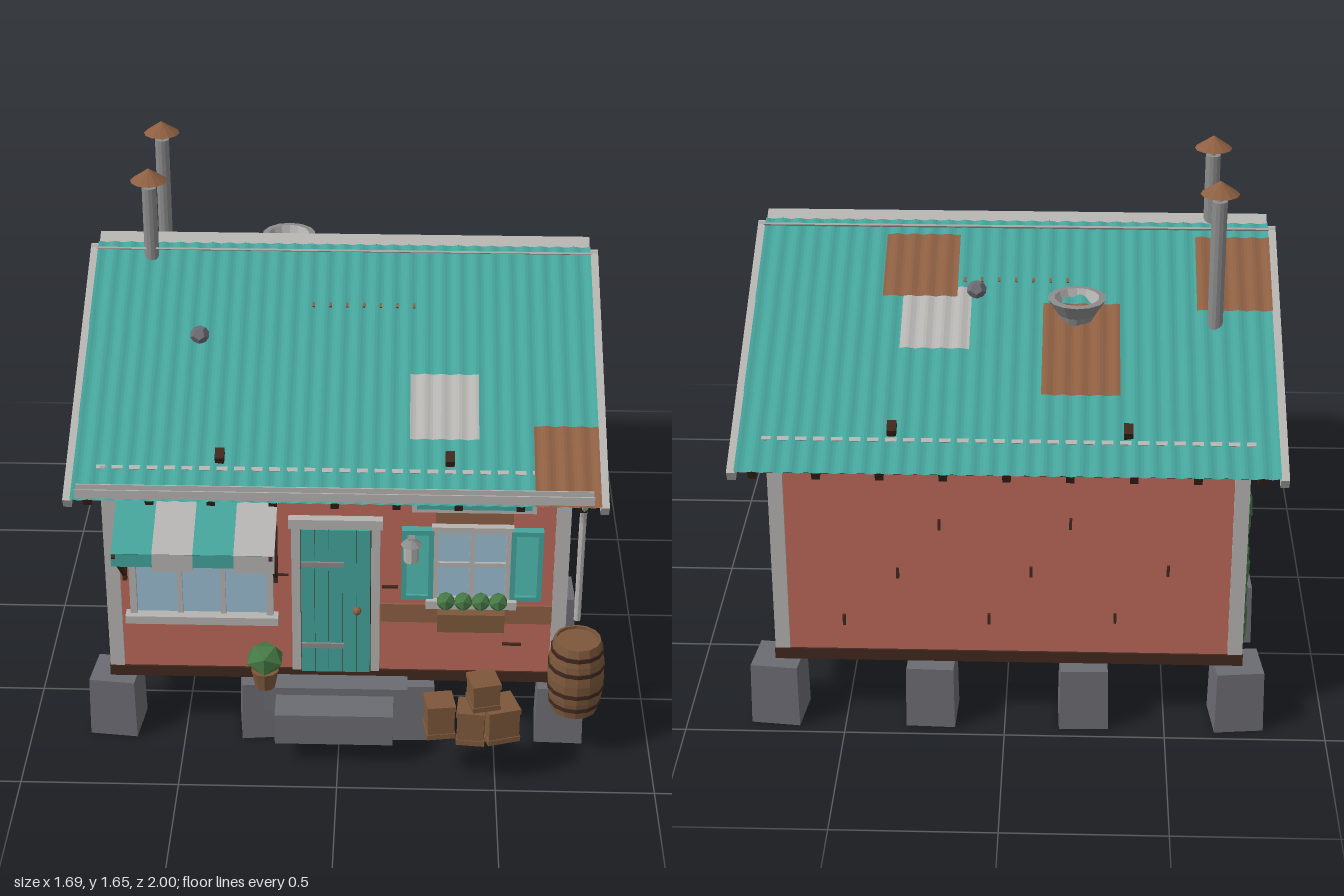
import * as THREE from 'three';

const mat = (name, color, side = THREE.FrontSide) =>
  new THREE.MeshStandardMaterial({ name, color, side, flatShading: true });
const M = {
  red: mat('red siding', 0xb06252),
  teal: mat('teal paint', 0x45a49b, THREE.DoubleSide),
  trim: mat('pale grey trim', 0xb5b4b1, THREE.DoubleSide),
  metal: mat('grey metal', 0x8c8c8c, THREE.DoubleSide),
  stone: mat('grey stone', 0x6b6b72),
  wood: mat('brown wood', 0x7d583b),
  rust: mat('rust', 0x8e5f42, THREE.DoubleSide),
  dark: mat('dark timber', 0x40281e),
  glass: mat('blue glass', 0x9abdd1),
  green: mat('leaf green', 0x467945),
};

function add(parent, name, geo, material, x = 0, y = 0, z = 0) {
  const m = new THREE.Mesh(geo, material);
  m.name = name;
  m.position.set(x, y, z);
  parent.add(m);
  return m;
}
// Box given by its limits on each axis
const slab = (p, name, m, x0, x1, y0, y1, z0, z1) => add(p, name,
  new THREE.BoxGeometry(x1 - x0, y1 - y0, z1 - z0), m, (x0 + x1) / 2, (y0 + y1) / 2, (z0 + z1) / 2);

function group(parent, name, x = 0, y = 0, z = 0, ry = 0) {
  const g = new THREE.Group();
  g.name = name;
  g.position.set(x, y, z);
  g.rotation.y = ry;
  parent.add(g);
  return g;
}

const CX = -0.01, RIDGE_Z = -0.107, RIDGE_Y = 1.375, TAN = 0.515;
const ANGLE = Math.atan(TAN), COS = Math.cos(ANGLE), LEN = 0.897 / COS;

// Lap board: lower edge stands proud of the wall
function board(p, a, b, at, bt, y0, y1) {
  const s = new THREE.Shape([[a, y0], [b, y0], [bt, y1], [at, y1]].map(q => new THREE.Vector2(...q)));
  const g = new THREE.ExtrudeGeometry(s, { depth: 0.014, bevelEnabled: false });
  const v = g.attributes.position;
  for (let i = 0; i < v.count; i++) if (v.getZ(i) > 0.01 && v.getY(i) > y1 - 0.001) v.setZ(i, 0.005);
  g.computeVertexNormals();
  add(p, 'sidingBoard', g, M.red);
}
function siding(p, x0, x1, gableMid) {
  const h = 0.0685;
  for (let i = 0; i < 10; i++) board(p, x0, x1, x0, x1, 0.245 + i * h, 0.245 + (i + 1) * h);
  if (gableMid === undefined) return;
  const half = y => Math.max(0.005, (1.325 - y) / TAN);
  for (let y = 0.97; y < 1.31; y += h) {
    const t = Math.min(y + h, 1.322);
    board(p, gableMid - half(y), gableMid + half(y), gableMid - half(t), gableMid + half(t), y, t);
  }
  slab(p, 'gableBand', M.trim, x0, x1, 0.93, 0.975, 0, 0.022);
  // Louvred gable vent
  const vent = group(p, 'gableVent', gableMid, 1.143, 0);
  slab(vent, 'ventFrame', M.trim, -0.063, 0.063, -0.05, 0.05, 0, 0.02);
  for (let i = 0; i < 5; i++) slab(vent, 'ventSlat', M.teal, -0.053, 0.053, -0.041 + i * 0.017, -0.028 + i * 0.017, 0.015, 0.026);
}

function windowUnit(p, x0, x1, y0, y1, cols, rows) {
  const g = group(p, 'window'), f = 0.022;
  slab(g, 'glass', M.glass, x0, x1, y0, y1, 0.012, 0.02);
  for (const x of [x0 - f, x1]) slab(g, 'frameSide', M.trim, x, x + f, y0, y1, 0, 0.036);
  slab(g, 'frameTop', M.trim, x0 - f, x1 + f, y1, y1 + f, 0, 0.038);
  slab(g, 'sill', M.trim, x0 - f - 0.015, x1 + f + 0.015, y0 - 0.028, y0, 0, 0.055);
  for (let i = 1; i < cols; i++) {
    const x = x0 + (x1 - x0) * i / cols;
    slab(g, 'muntin', M.trim, x - 0.008, x + 0.008, y0, y1, 0.012, 0.03);
  }
  for (let i = 1; i < rows; i++) {
    const y = y0 + (y1 - y0) * i / rows;
    slab(g, 'muntin', M.trim, x0, x1, y - 0.008, y + 0.008, 0.012, 0.029);
  }
}
function shutter(p, x0, x1, louvred = true) {
  const g = group(p, 'shutter'), y0 = 0.53, y1 = 0.785, n = 8;
  if (!louvred) { slab(g, 'shutterPanel', M.teal, x0, x1, y0, y1, 0.015, 0.04); return; }
  slab(g, 'shutterBack', M.dark, x0 + 0.01, x1 - 0.01, y0 + 0.01, y1 - 0.01, 0.012, 0.018);
  for (const x of [x0, x1 - 0.016]) slab(g, 'stile', M.teal, x, x + 0.016, y0, y1, 0.012, 0.04);
  for (const y of [y0, y1 - 0.016]) slab(g, 'rail', M.teal, x0, x1, y, y + 0.016, 0.012, 0.04);
  for (let i = 0; i < n; i++) {
    const y = y0 + 0.03 + i * (y1 - y0 - 0.06) / (n - 1);
    slab(g, 'slat', M.teal, x0 + 0.01, x1 - 0.01, y - 0.012, y + 0.012, 0.026, 0.031).rotation.x = -0.35;
  }
}
const cracks = (p, list) => list.forEach(([x, y, w, h = 0.007]) =>
  slab(p, 'crack', M.dark, x - w / 2, x + w / 2, y - h / 2, y + h / 2, 0.008, 0.018));

// Corrugated sheet in slope space: x across, z down the slope
function sheet(p, name, m, x0, x1, v0, v1, lift0, lift1) {
  const g = new THREE.PlaneGeometry(x1 - x0, v1 - v0, Math.round((x1 - x0) / 0.009), 1);
  g.rotateX(-Math.PI / 2).translate((x0 + x1) / 2, 0, (v0 + v1) / 2);
  const a = g.attributes.position;
  for (let i = 0; i < a.count; i++) {
    const t = (a.getZ(i) - v0) / (v1 - v0);
    a.setY(i, lift0 + (lift1 - lift0) * t + 0.0028 * Math.cos(a.getX(i) * Math.PI * 2 / 0.054));
  }
  g.computeVertexNormals();
  add(p, name, g, m);
}

function roofSlope(root, front) {
  const outer = group(root, front ? 'frontRoof' : 'backRoof', CX, RIDGE_Y, RIDGE_Z, front ? 0 : Math.PI);
  const s = group(outer, 'slope'), k = front ? 1 : -1;
  s.rotation.x = ANGLE;
  const lx = x => k * (x - CX), lv = z => Math.abs(z - RIDGE_Z) / COS;
  const patch = (m, x0, x1, z0, z1) => {
    const xs = [lx(x0), lx(x1)].sort((a, b) => a - b), vs = [lv(z0), lv(z1)].sort((a, b) => a - b);
    sheet(s, 'roofPatch', m, ...xs, ...vs, 0.01, 0.013);
  };
  [[0, 0.35], [0.33, 0.71], [0.69, LEN]].forEach(([a, b]) => sheet(s, 'roofSheet', M.teal, -0.81, 0.81, a, b, -0.002, 0.007));
  slab(s, 'roofDeck', M.dark, -0.805, 0.805, -0.022, -0.011, 0.01, LEN - 0.02);
  for (let i = 0; i < 9; i++) slab(s, 'rafter', M.dark, -0.775 + i * 0.19, -0.75 + i * 0.19, -0.055, -0.02, 0.03, LEN - 0.02);
  for (const x of [-0.823, 0.823]) slab(s, 'bargeboard', M.trim, x - 0.013, x + 0.013, -0.05, -0.012, 0, LEN - 0.01);
  // Snow rail half sunk in the corrugations, with its hooks
  const rail = lv(front ? 0.68 : -0.89), hook = lv(front ? 0.645 : -0.86);
  slab(s, 'snowRail', M.trim, -0.74, 0.74, -0.003, 0.0045, rail - 0.007, rail + 0.007);
  for (const x of [-0.37, 0.34]) slab(s, 'railHook', M.dark, lx(x) - 0.014, lx(x) + 0.014, 0, 0.03, hook - 0.02, hook + 0.02);
  for (let i = 0; i < 7; i++) {
    const x = lx((front ? -0.1 : -0.18) + i * 0.054), v = lv(front ? 0.12 : -0.335);
    slab(s, 'roofNail', M.rust, x - 0.004, x + 0.004, 0, 0.01, v - 0.008, v + 0.008);
  }
  if (front) {
    patch(M.trim, 0.215, 0.43, 0.36, 0.58);
    patch(M.rust, 0.6, 0.8, 0.53, 0.793);
  } else {
    patch(M.trim, 0.12, 0.335, -0.585, -0.365);
    patch(M.rust, -0.345, -0.105, -0.74, -0.42);
    patch(M.rust, -0.82, -0.585, -0.44, -0.17);
    patch(M.rust, 0.165, 0.4, -0.4, -0.17);
  }
  const rx = front ? -0.46 : 0.105, rz = front ? 0.24 : -0.38;
  add(s, 'roofRock', new THREE.DodecahedronGeometry(0.032, 0), M.stone, lx(rx), 0.02, lv(rz)).scale.y = 0.8;
  // Upturned ridge flashing
  const cap = slab(outer, 'ridgeFlashing', M.trim, -0.81, 0.81, -0.014, -0.008, -0.005, 0.068);
  cap.rotation.x = -0.48;
}

function frontWall(root) {
  const f = group(root, 'frontWall', 0, 0, 0.685);
  siding(f, -0.715, 0.695);
  windowUnit(f, -0.64, -0.23, 0.46, 0.83, 3, 2);
  windowUnit(f, 0.31, 0.52, 0.535, 0.775, 2, 2);
  shutter(f, 0.195, 0.295);
  shutter(f, 0.535, 0.635);
  slab(f, 'boardPatch', M.rust, 0.13, 0.68, 0.43, 0.497, 0.01, 0.017);
  slab(f, 'boardPatch', M.rust, 0.3, 0.54, 0.8, 0.84, 0.01, 0.019);
  slab(f, 'upperPanelFrame', M.trim, 0.225, 0.61, 0.843, 0.93, 0, 0.025);
  slab(f, 'upperPanel', M.teal, 0.24, 0.595, 0.857, 0.92, 0.02, 0.03);
  // Door
  slab(f, 'doorFrame', M.trim, -0.15, 0.128, 0.245, 0.79, 0, 0.026);
  slab(f, 'doorHead', M.trim, -0.158, 0.136, 0.785, 0.818, 0, 0.04);
  slab(f, 'doorGap', M.dark, -0.122, 0.1, 0.245, 0.782, 0.02, 0.029);
  for (let i = 0; i < 5; i++) slab(f, 'doorPlank', M.teal, -0.12 + i * 0.0438, -0.0775 + i * 0.0438, 0.247, 0.78, 0.02, 0.036);
  for (const y of [0.35, 0.655]) slab(f, 'hinge', M.metal, -0.12, 0.015, y - 0.009, y + 0.009, 0.03, 0.042);
  add(f, 'doorKnob', new THREE.SphereGeometry(0.014, 8, 6), M.rust, 0.057, 0.49, 0.048);
  // Striped awning with a hanging valance
  const w = 0.124;
  for (let i = 0; i < 4; i++) {
    const m = i % 2 ? M.trim : M.teal, x = -0.685 + i * w, low = i % 2 ? 0.745 : 0.762;
    const a = slab(f, 'awningStripe', m, x, x + w, -0.003, 0.003, -0.122, 0.122);
    a.position.set(x + w / 2, 0.853, 0.122);
    a.rotation.x = 0.4;
    slab(f, 'awningValance', m, x, x + w, low, 0.808, 0.229, 0.235);
  }
  for (const x of [-0.677, -0.2]) {
    const arm = slab(f, 'awningArm', M.dark, x - 0.006, x + 0.006, -0.15, 0.15, -0.006, 0.006);
    arm.position.set(x, 0.7, 0.13);
    arm.rotation.x = 0.82;
    slab(f, 'awningBracket', M.dark, x - 0.007, x + 0.007, 0.575, 0.78, 0.012, 0.024);
  }
  // Flower box
  slab(f, 'flowerBox', M.wood, 0.31, 0.52, 0.44, 0.505, 0.02, 0.085);
  for (let i = 0; i < 4; i++) add(f, 'flowerPlant', new THREE.IcosahedronGeometry(0.032, 0), M.green, 0.335 + i * 0.055, 0.535, 0.052);
  // Wall lamp
  slab(f, 'lampBracket', M.metal, 0.215, 0.235, 0.755, 0.77, 0, 0.065);
  add(f, 'lampGlass', new THREE.CylinderGeometry(0.024, 0.024, 0.06, 8), M.trim, 0.225, 0.718, 0.058);
  add(f, 'lampHood', new THREE.ConeGeometry(0.034, 0.025, 8), M.metal, 0.225, 0.76, 0.058);
  cracks(f, [[-0.18, 0.6, 0.04], [0.16, 0.56, 0.05], [-0.6, 0.44, 0.1], [0.55, 0.35, 0.06]]);
}

function props(root) {
  // Steps
  slab(root, 'upperStep', M.stone, -0.24, 0.22, 0.13, 0.222, 0.69, 0.78);
  slab(root, 'lowerStep', M.stone, -0.2, 0.175, 0.085, 0.195, 0.74, 0.89);
  // Crates: x, y, z, width, height, turn
  [[0.32, 0.225, 0.915, 0.09, 0.12, 0.15], [0.42, 0.225, 0.945, 0.09, 0.12, -0.1],
    [0.508, 0.225, 0.925, 0.105, 0.12, 0.3], [0.455, 0.332, 0.93, 0.09, 0.095, 0.25]].forEach(([x, y, z, w, h, r]) => {
    const g = group(root, 'crate', x, y, z, r);
    add(g, 'crateBody', new THREE.BoxGeometry(w - 0.006, h - 0.004, w - 0.006), M.wood);
    for (const a of [-1, 1]) add(g, 'crateBatten', new THREE.BoxGeometry(w, 0.018, w), M.wood, 0, a * (h / 2 - 0.009), 0);
  });
  // Barrel
  const b = group(root, 'barrel', 0.752, 0.17, 0.775);
  const prof = [[0, 0], [0.074, 0], [0.086, 0.06], [0.091, 0.13], [0.086, 0.2], [0.074, 0.26], [0.067, 0.26], [0.067, 0.25], [0, 0.25]];
  add(b, 'barrelBody', new THREE.LatheGeometry(prof.map(q => new THREE.Vector2(...q)), 14), M.wood);
  for (const [y, r] of [[0.035, 0.084], [0.09, 0.091], [0.17, 0.091], [0.225, 0.084]])
    add(b, 'barrelHoop', new THREE.CylinderGeometry(r, r, 0.014, 14), M.dark, 0, y, 0);
  // Potted shrub
  add(root, 'plantPot', new THREE.CylinderGeometry(0.045, 0.032, 0.065, 10), M.wood, -0.235, 0.253, 0.765);
  add(root, 'shrub', new THREE.IcosahedronGeometry(0.064, 0), M.green, -0.235, 0.325, 0.765).scale.y = 0.85;
  // Climbing vine
  let seed = 7;
  const rnd = () => (seed = (seed * 16807) % 2147483647) / 2147483647;
  for (let i = 0; i < 30; i++) {
    const leaf = add(root, 'vineLeaf', new THREE.IcosahedronGeometry(0.045 + rnd() * 0.015, 0), M.green,
      -0.735, 0.2 + i * 0.0195, -0.765 + (rnd() - 0.5) * 0.12);
    leaf.scale.x = 0.4;
    leaf.rotation.x = rnd() * 3;
  }
  // Stove pipes
  for (const [z, y0] of [[-0.06, 1.34], [-0.475, 1.16]]) {
    const g = group(root, 'chimney', -0.64, 0, z);
    add(g, 'pipe', new THREE.CylinderGeometry(0.024, 0.024, 1.59 - y0, 12), M.metal, 0, (1.59 + y0) / 2, 0);
    add(g, 'capStem', new THREE.CylinderGeometry(0.008, 0.008, 0.04, 6), M.metal, 0, 1.6, 0);
    add(g, 'pipeCap', new THREE.ConeGeometry(0.06, 0.042, 12), M.rust, 0, 1.634, 0);
  }
  // Flared roof vent ring
  const ring = [[0.05, 0], [0.06, 0.04], [0.092, 0.09], [0.07, 0.092], [0.05, 0.04]];
  const pts = ring.map(q => new THREE.Vector2(...q));
  add(root, 'roofVentRing', new THREE.LatheGeometry(pts.slice(0, 4), 14), M.metal, -0.21, 1.165, -0.45);
  add(root, 'roofVentLining', new THREE.LatheGeometry(pts.slice(3), 14), M.trim, -0.21, 1.165, -0.45);
  // Gutter and downspout
  slab(root, 'gutterTrough', M.trim, -0.8, 0.775, 0.943, 0.95, 0.785, 0.822);
  for (const z of [0.785, 0.818]) slab(root, 'gutterSide', M.trim, -0.8, 0.775, 0.943, 0.972, z, z + 0.004);
  const path = [[0.80, 0.95], [0.78, 0.92], [0.735, 0.88], [0.715, 0.82], [0.715, 0.46]].map(([z, y]) => new THREE.Vector3(0.752, y, z));
  add(root, 'downspout', new THREE.TubeGeometry(new THREE.CatmullRomCurve3(path, false, 'catmullrom', 0.2), 20, 0.011, 8), M.trim);
}

export function createModel() {
  const root = new THREE.Group();
  root.name = 'cabin';
  // Stone piers around the edge, each a little askew
  const px = [-0.725, -0.245, 0.23, 0.712], pz = [0.67, 0.153, -0.36, -0.882];
  px.forEach((x, i) => pz.forEach((z, j) => {
    if (i % 3 && j % 3) return;
    const g = new THREE.CylinderGeometry(0.104, 0.109, 0.208, 4).rotateY(Math.PI / 4);
    add(root, 'pier', g, M.stone, x, 0.104, z).rotation.y = ((i * 3 + j * 5) % 4 - 1.5) * 0.07;
  }));
  // Floor and its underside planks
  slab(root, 'floor', M.dark, -0.74, 0.72, 0.208, 0.246, -0.905, 0.705);
  for (let i = 0; i < 20; i++) slab(root, 'floorPlank', M.wood, -0.72, 0.7, 0.203, 0.21, -0.88 + i * 0.078, -0.806 + i * 0.078);
  // Solid house core with gables
  const core = new THREE.Shape([[0.885, 0.24], [-0.685, 0.24], [-0.685, 0.915], [0.107, 1.325], [0.885, 0.92]].map(q => new THREE.Vector2(...q)));
  const cg = new THREE.ExtrudeGeometry(core, { depth: 1.41, bevelEnabled: false }).rotateY(Math.PI / 2);
  add(root, 'houseCore', cg, M.red, -0.715, 0, 0);
  frontWall(root);

  const right = group(root, 'rightWall', 0.695, 0, 0, Math.PI / 2);
  siding(right, -0.685, 0.885, 0.107);
  windowUnit(right, -0.265, -0.055, 0.548, 0.775, 2, 2);
  windowUnit(right, 0.255, 0.465, 0.548, 0.775, 2, 2);
  shutter(right, -0.378, -0.28, false);
  shutter(right, -0.04, 0.07, false);
  shutter(right, 0.145, 0.245);
  shutter(right, 0.48, 0.585);
  slab(right, 'boardPatch', M.rust, -0.65, -0.075, 0.765, 0.905, 0.008, 0.017);
  slab(right, 'boardPatch', M.rust, -0.075, 0.31, 0.79, 0.832, 0.008, 0.017);
  slab(right, 'boardPatch', M.rust, 0.125, 0.86, 0.3, 0.367, 0.008, 0.017);
  cracks(right, [[-0.43, 0.835, 0.17], [-0.45, 0.565, 0.12], [0.74, 0.565, 0.13], [0.1, 0.4, 0.08], [0.62, 0.42, 0.08],
    [0.1, 0.93, 0.06], [-0.07, 0.3, 0.01, 0.03], [0.3, 0.47, 0.1]]);

  const left = group(root, 'leftWall', -0.715, 0, 0, -Math.PI / 2);
  siding(left, -0.885, 0.685, -0.107);
  windowUnit(left, -0.215, -0.005, 0.548, 0.775, 2, 2);
  shutter(left, -0.33, -0.23);
  shutter(left, 0.01, 0.11);
  slab(left, 'boardPatch', M.rust, 0.02, 0.62, 0.83, 0.9, 0.008, 0.017);
  // Loose boards leaning out from the wall
  for (const [x, y] of [[0.3, 0.82], [0.23, 0.54], [-0.57, 0.57]])
    slab(left, 'looseBoard', M.rust, x - 0.1, x + 0.1, y - 0.03, y + 0.03, 0.013, 0.02).rotation.x = -0.3;

  const back = group(root, 'backWall', 0, 0, -0.885, Math.PI);
  siding(back, -0.695, 0.715);
  cracks(back, [-0.5, -0.33, -0.2, -0.05, 0.08, 0.2, 0.34, 0.5].map((x, i) => [x, 0.35 + (i * 0.17) % 0.5, 0.009, 0.035]));

  // Corner trim
  for (const x of [-0.715, 0.695]) for (const z of [-0.88, 0.68])
    slab(root, 'cornerTrim', M.trim, x - 0.023, x + 0.023, 0.246, 0.915, z - 0.023, z + 0.023);
  roofSlope(root, true);
  roofSlope(root, false);
  props(root);
  return root;
}
